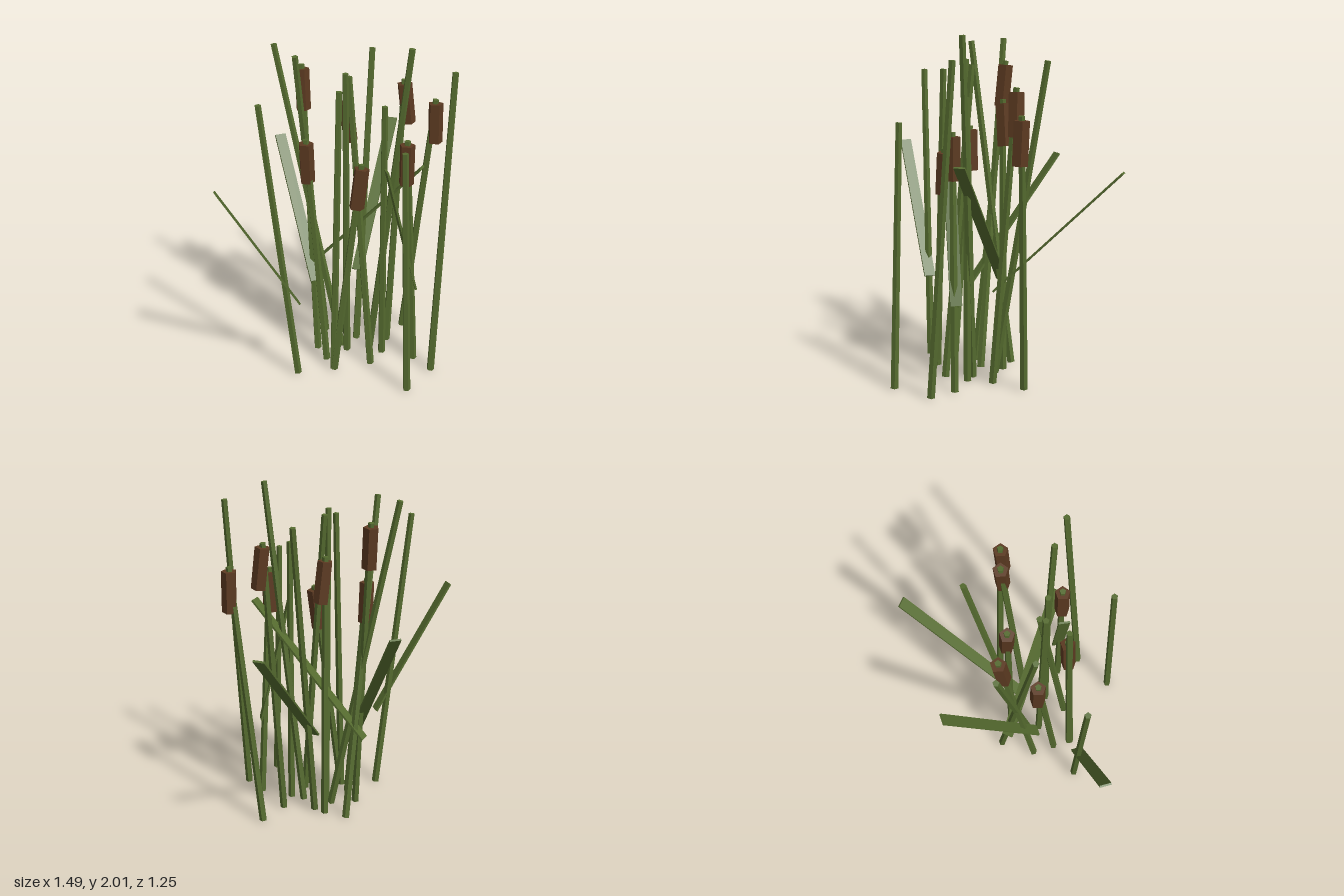
import * as THREE from 'three';

const UP = new THREE.Vector3(0, 1, 0);

export function createModel() {
  const group = new THREE.Group();
  const green = new THREE.MeshStandardMaterial({ color: 0x556b2f, flatShading: true });
  green.name = 'reedGreen';
  const brown = new THREE.MeshStandardMaterial({ color: 0x5c3a21, flatShading: true });
  brown.name = 'seedHeadBrown';

  // Five-sided rod between two points
  function rod(name, a, b, rBottom, rTop, material) {
    const dir = b.clone().sub(a);
    const mesh = new THREE.Mesh(
      new THREE.CylinderGeometry(rTop, rBottom, dir.length(), 5), material);
    mesh.name = name;
    mesh.position.copy(a).add(b).multiplyScalar(0.5);
    mesh.quaternion.setFromUnitVectors(UP, dir.normalize());
    group.add(mesh);
  }
  const stem = (bx, bz, x, y, z) => rod('stem',
    new THREE.Vector3(bx, 0, bz), new THREE.Vector3(x, y, z), 0.023, 0.019, green);

  // Bare stems: base x, base z, tip x, y, z
  [
    [-0.27, 0.18, -0.47, 1.76, 0.135],
    [0.10, 0.0, -0.215, 1.95, -0.285],
    [0.08, -0.21, -0.175, 1.94, -0.055],
    [0.22, -0.04, 0.41, 1.85, -0.275],
    [0.24, 0.11, 0.41, 2.0, 0.245],
    [0.49, 0.47, 0.612, 1.88, 0.385],
    [0.26, 0.605, 0.23, 1.52, 0.55],
    [-0.05, 0.22, -0.01, 1.79, 0.19],
    [0.30, 0.17, 0.285, 1.65, 0.17],
    [0.11, 0.06, 0.075, 1.85, 0.085],
    [0.18, 0.26, 0.108, 1.82, 0.06],
  ].forEach((s) => stem(...s));

  // Cattails: base x, base z, stem tip x, y, z, lean of the head in x and z
  [
    [-0.05, -0.03, -0.065, 1.825, -0.23, 0, -0.025],
    [0.39, 0.05, 0.51, 1.715, -0.035, -0.025, -0.015],
    [0.56, -0.07, 0.695, 1.58, 0.02, 0, -0.01],
    [0.18, -0.11, 0.165, 1.62, -0.11, -0.03, 0],
    [0.45, 0.31, 0.375, 1.47, 0.29, 0, 0],
    [-0.05, 0.11, -0.125, 1.44, -0.025, -0.01, 0],
    [-0.05, 0.23, 0.115, 1.345, 0.235, 0.03, 0],
  ].forEach(([bx, bz, x, y, z, dx, dz]) => {
    stem(bx, bz, x, y, z);
    rod('seedHead', new THREE.Vector3(x - dx, y - 0.27, z - dz),
      new THREE.Vector3(x, y - 0.025, z), 0.046, 0.046, brown);
  });

  // Flat leaves leaning outward, wide side level: base, then tip
  [
    [-0.265, 0.5, 0.185, -0.74, 1.29, 0.165],
    [0.22, 0.5, -0.035, 0.715, 1.235, -0.6],
    [-0.07, 0.5, -0.01, -0.07, 1.25, -0.585],
    [0.45, 0.5, 0.3, 0.26, 1.29, 0.265],
    [-0.04, 0.5, -0.2, 0.475, 1.285, 0.29],
  ].forEach(([ax, ay, az, bx, by, bz]) => {
    const a = new THREE.Vector3(ax, ay, az);
    const b = new THREE.Vector3(bx, by, bz);
    const along = b.clone().sub(a);
    const leaf = new THREE.Mesh(
      new THREE.BoxGeometry(0.068, along.length(), 0.012), green);
    along.normalize();
    const side = new THREE.Vector3().crossVectors(along, UP).normalize();
    const face = new THREE.Vector3().crossVectors(side, along);
    leaf.quaternion.setFromRotationMatrix(new THREE.Matrix4().makeBasis(side, along, face));
    leaf.position.copy(a).add(b).multiplyScalar(0.5);
    leaf.name = 'leaf';
    group.add(leaf);
  });

  return group;
}
